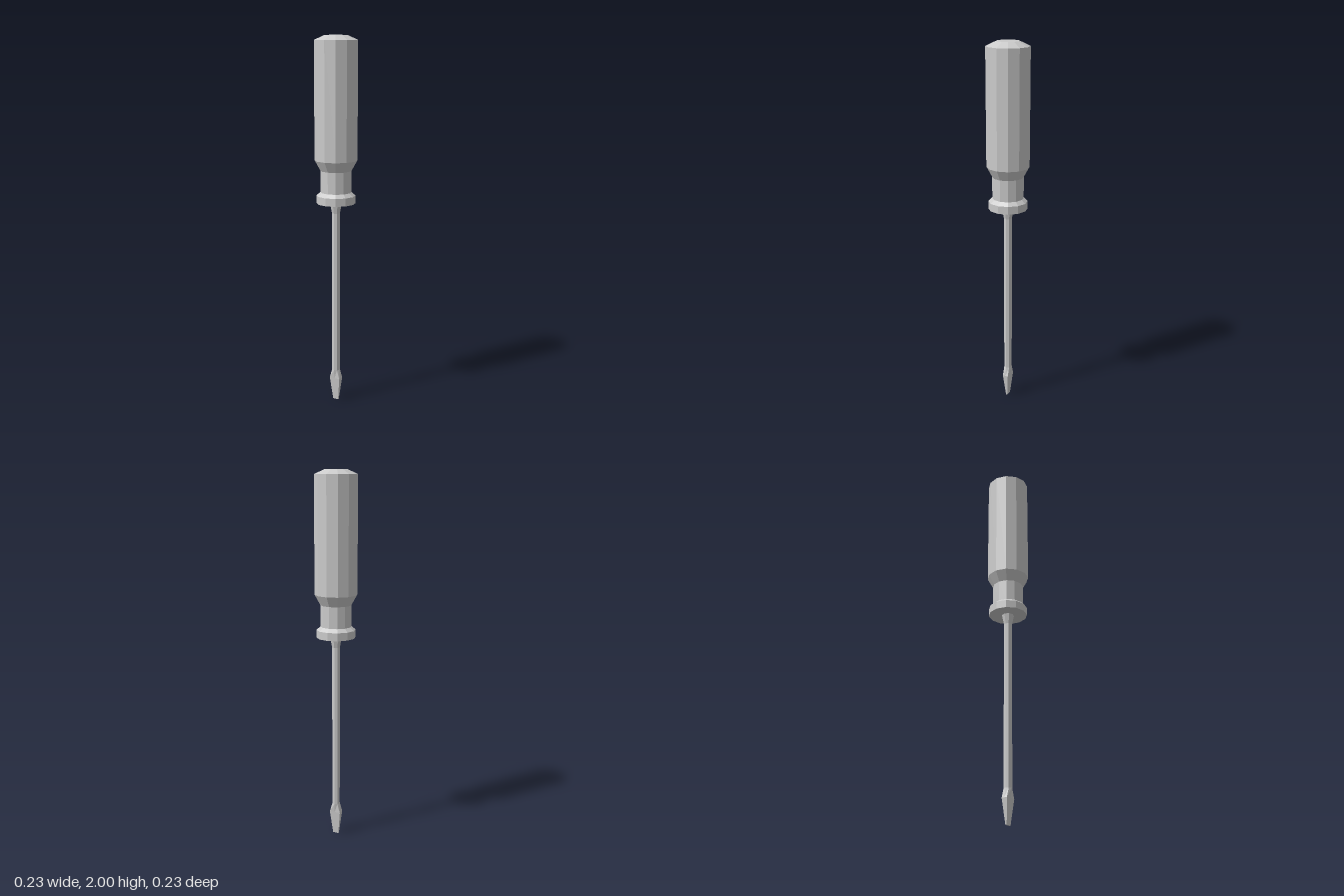
import * as THREE from 'three';

const material = new THREE.MeshStandardMaterial({ color: 0xcccccc, flatShading: true });

// Faceted solid of revolution from [radius, y] pairs, listed bottom to top
function turned(name, sides, profile) {
  const points = profile.map(([r, y]) => new THREE.Vector2(r, y));
  const mesh = new THREE.Mesh(new THREE.LatheGeometry(points, sides), material);
  mesh.name = name;
  return mesh;
}

// Flat blade: an octagonal section that turns into a rectangle towards the tip
function makeBlade() {
  // y, half width, half thickness, squareness
  const rings = [
    [0.18, 0.022, 0.022, 0],
    [0.13, 0.031, 0.016, 1],
    [0, 0.016, 0.004, 1],
  ];
  const geometry = new THREE.CylinderGeometry(1, 1, 2, 8, 2);
  const position = geometry.attributes.position;
  const square = (v) => THREE.MathUtils.clamp(v * Math.SQRT2, -1, 1);
  for (let i = 0; i < position.count; i++) {
    const [y, w, t, s] = rings[Math.round(1 - position.getY(i))];
    const x = position.getX(i), z = position.getZ(i);
    position.setXYZ(i,
      w * THREE.MathUtils.lerp(x, square(x), s), y,
      t * THREE.MathUtils.lerp(z, square(z), s));
  }
  geometry.computeVertexNormals();
  const mesh = new THREE.Mesh(geometry, material);
  mesh.name = 'blade';
  return mesh;
}

export function createModel() {
  const group = new THREE.Group();
  group.name = 'screwdriver';

  // Grip with bevelled end and narrow neck
  group.add(turned('handle', 12, [
    [0.083, 1.18], [0.083, 1.305], [0.113, 1.36], [0.113, 1.975], [0.06, 2], [0, 2],
  ]));

  // Guard ring below the neck
  group.add(turned('collar', 12, [
    [0, 1.13], [0.104, 1.13], [0.104, 1.172], [0.083, 1.19],
  ]));

  // Tapered socket and the long rod
  group.add(turned('ferrule', 8, [[0.022, 1.075], [0.033, 1.13]]));
  group.add(turned('shaft', 8, [[0.022, 0.18], [0.022, 1.13]]));

  group.add(makeBlade());
  return group;
}
